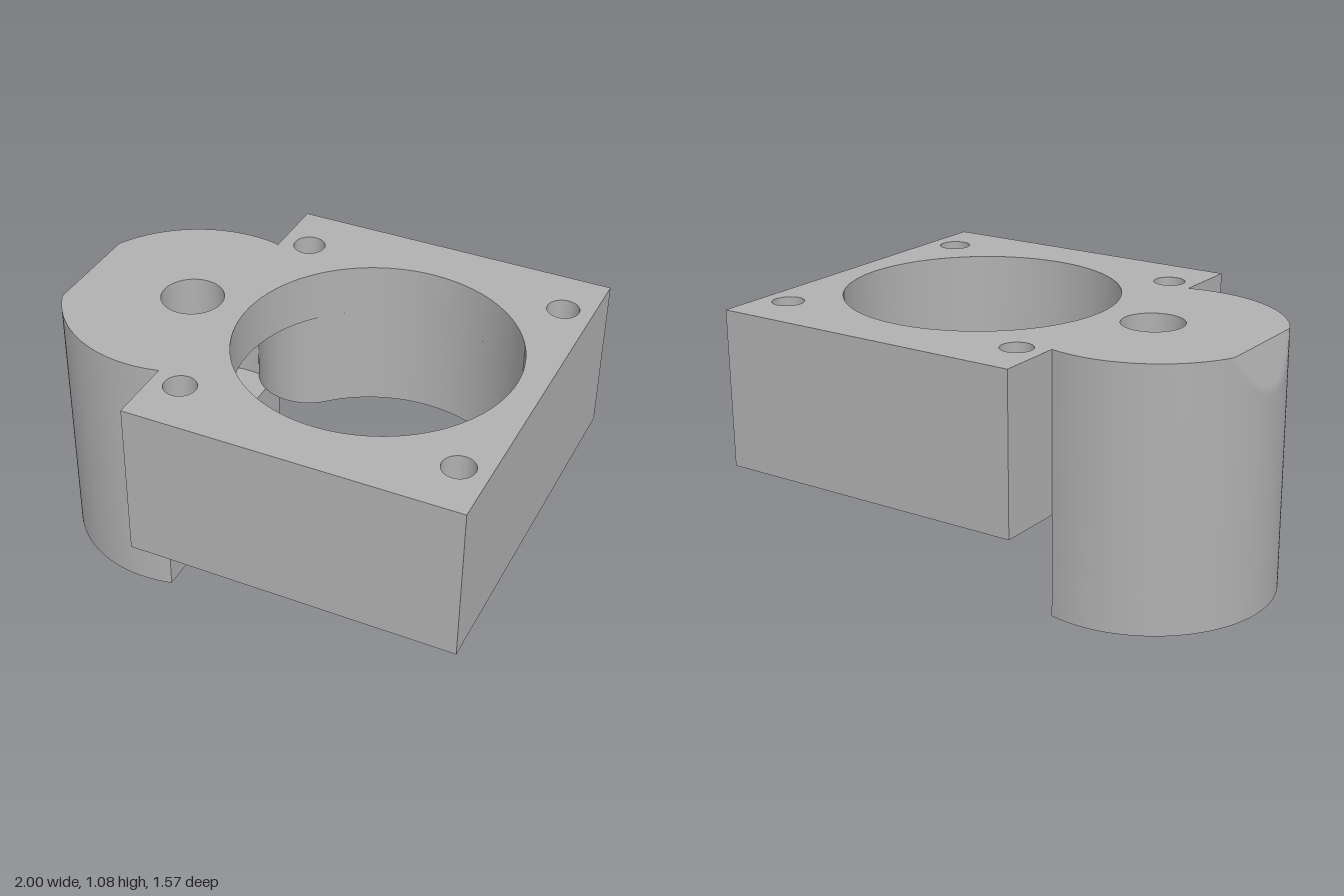
import * as THREE from 'three';
import { toCreasedNormals } from 'three/addons/utils/BufferGeometryUtils.js';

const TOP = 1.075, CEILING = 0.86, PLATE_BASE = 0.42, NUT_TOP = 0.2;
const EDGE = -0.35, HALF_DEPTH = 0.785;          // inner side and half depth of the block
const AXIS = -0.48, BOSS_R = 0.52;               // round boss
const BORE = 0.325, BORE_R = 0.565;              // large bore
const PHI = Math.acos((EDGE - AXIS) / BOSS_R);   // where the boss meets the block
const BOSS_Z = BOSS_R * Math.sin(PHI);

const grey = new THREE.MeshStandardMaterial({ color: 0xb0b0b0 });
grey.name = 'grey';

function circle(x, z, r) {
  return new THREE.Path().absarc(x, z, r, 0, Math.PI * 2, false);
}

// Block and boss as one outline
function bodyOutline() {
  const s = new THREE.Shape();
  s.moveTo(EDGE, -HALF_DEPTH);
  s.lineTo(1, -HALF_DEPTH);
  s.lineTo(1, HALF_DEPTH);
  s.lineTo(EDGE, HALF_DEPTH);
  s.lineTo(EDGE, BOSS_Z);
  s.absarc(AXIS, 0, BOSS_R, PHI, Math.PI * 2 - PHI, false);
  s.closePath();
  for (const x of [-0.23, 0.88]) {
    for (const z of [-0.555, 0.555]) s.holes.push(circle(x, z, 0.065));
  }
  return s;
}

// Boss with a flat inner side
function bossOutline() {
  const s = new THREE.Shape();
  s.absarc(AXIS, 0, BOSS_R, PHI, Math.PI * 2 - PHI, false);
  s.closePath();
  return s;
}

// Large bore joined to the round chamber in the boss, necked in around two screws
function pocketOutline() {
  const p = new THREE.Path();
  p.absarc(BORE, 0, BORE_R, -Math.PI * 0.75, Math.PI * 0.75, false);
  p.absarc(-0.23, 0.555, 0.22, -Math.PI / 4, -2.678, true);
  p.absarc(AXIS, 0, 0.46, 1.453, Math.PI * 2 - 1.453, false);
  p.absarc(-0.23, -0.555, 0.22, 2.678, Math.PI / 4, true);
  p.closePath();
  return p;
}

// Hexagonal nut recess
function hexagon(r) {
  const pts = [];
  for (let i = 0; i < 6; i++) {
    const a = (i * Math.PI) / 3;
    pts.push(new THREE.Vector2(AXIS + r * Math.cos(a), r * Math.sin(a)));
  }
  return new THREE.Path(pts).closePath() || new THREE.Path(pts);
}

// Upright slab between two heights
function slab(name, shape, y0, y1, steps = 1, rule = null) {
  const g = new THREE.ExtrudeGeometry(shape, { depth: y1 - y0, steps, curveSegments: 48, bevelEnabled: false });
  g.rotateX(-Math.PI / 2);
  g.translate(0, y0, 0);
  if (rule) {
    const p = g.attributes.position;
    for (let i = 0; i < p.count; i++) p.setX(i, rule(p.getX(i), p.getY(i)));
  }
  const mesh = new THREE.Mesh(toCreasedNormals(g, 0.5), grey);
  mesh.name = name;
  return mesh;
}

export function createModel() {
  const model = new THREE.Group();
  model.name = 'mountingBlock';

  // Top with bore and counterbore; its outer rim is cut by a sloping plane
  const top = bodyOutline();
  top.holes.push(circle(BORE, 0, BORE_R), circle(AXIS, 0, 0.127));
  const slope = (x, y) => Math.max(x, -1 + 0.05 * (y - 0.9) / (TOP - 0.9));
  model.add(slab('topPlate', top, CEILING, TOP, 12, slope));

  // Middle walls around the chamber
  const walls = bodyOutline();
  walls.holes.push(pocketOutline());
  model.add(slab('chamberWalls', walls, PLATE_BASE, CEILING));

  // Lower boss with a bolt hole and nut recess
  const boss = bossOutline();
  boss.holes.push(circle(AXIS, 0, 0.075));
  model.add(slab('lowerBoss', boss, NUT_TOP, PLATE_BASE));

  const foot = bossOutline();
  foot.holes.push(hexagon(0.125));
  model.add(slab('nutRecess', foot, 0, NUT_TOP));

  return model;
}
